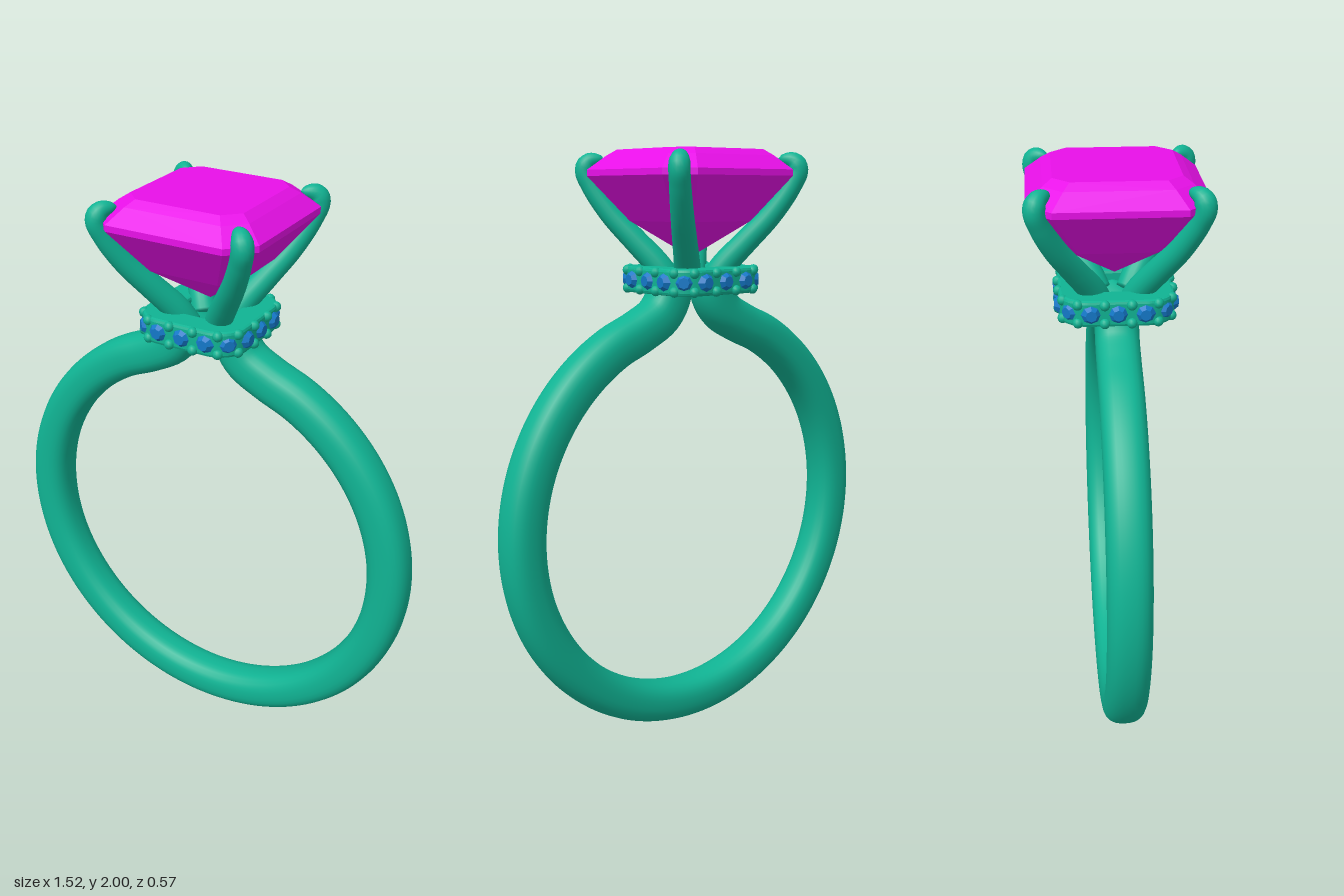
import * as THREE from 'three';
import { ConvexGeometry } from 'three/addons/geometries/ConvexGeometry.js';

const metal = new THREE.MeshStandardMaterial({ color: 0x10b393 });
const magenta = new THREE.MeshStandardMaterial({ color: 0xe810e8, flatShading: true });
const blue = new THREE.MeshStandardMaterial({ color: 0x1478c8, flatShading: true });

// Sweep a superellipse section along a curve; radius(t) closes the ends at 0
function sweep(curve, steps, sides, radius, power) {
  const frames = curve.computeFrenetFrames(steps, false);
  const pos = [], index = [];
  for (let i = 0; i <= steps; i++) {
    const p = curve.getPointAt(i / steps), r = radius(i / steps);
    for (let j = 0; j < sides; j++) {
      const a = (j / sides) * Math.PI * 2, c = Math.cos(a), s = Math.sin(a);
      const k = r / Math.pow(Math.abs(c) ** power + Math.abs(s) ** power, 1 / power);
      const v = p.clone().addScaledVector(frames.normals[i], k * c).addScaledVector(frames.binormals[i], k * s);
      pos.push(v.x, v.y, v.z);
      if (i < steps) {
        const n = (j + 1) % sides, a0 = i * sides + j, b0 = i * sides + n;
        index.push(a0, b0, a0 + sides, b0, b0 + sides, a0 + sides);
      }
    }
  }
  const g = new THREE.BufferGeometry();
  g.setAttribute('position', new THREE.Float32BufferAttribute(pos, 3));
  g.setIndex(index);
  g.computeVertexNormals();
  return g;
}

function add(parent, name, geometry, material) {
  const mesh = new THREE.Mesh(geometry, material);
  mesh.name = name;
  parent.add(mesh);
  return mesh;
}

// Rounded square outline, used for the collar and its opening
function roundedSquare(target, h, r) {
  const c = h - r;
  target.absarc(c, c, r, 0, Math.PI / 2);
  target.absarc(-c, c, r, Math.PI / 2, Math.PI);
  target.absarc(-c, -c, r, Math.PI, Math.PI * 1.5);
  target.absarc(c, -c, r, Math.PI * 1.5, Math.PI * 2);
  target.closePath();
  return target;
}

function createBand() {
  const shoulder = [[0.09, 1.59], [0.095, 1.53], [0.135, 1.465], [0.22, 1.415]];
  const pts = shoulder.map(([x, y]) => new THREE.Vector3(x, y, 0));
  for (let i = 0; i <= 40; i++) {
    const a = THREE.MathUtils.degToRad(62 - (304 * i) / 40);
    pts.push(new THREE.Vector3(0.69 * Math.cos(a), 0.76 + 0.69 * Math.sin(a), 0));
  }
  for (const [x, y] of shoulder.reverse()) pts.push(new THREE.Vector3(-x, y, 0));
  const radius = t => (t === 0 || t === 1 ? 0 : 0.071);
  return sweep(new THREE.CatmullRomCurve3(pts), 240, 28, radius, 2.6);
}

function createProng() {
  // Distance along the diagonal corner, height
  const path = [[0.05, 1.56], [0.077, 1.62], [0.13, 1.7], [0.19, 1.79], [0.235, 1.88],
    [0.251, 1.935], [0.24, 1.962], [0.205, 1.972]];
  const curve = new THREE.CatmullRomCurve3(path.map(([s, y]) => new THREE.Vector3(s, y, s)));
  const radius = t => {
    const body = THREE.MathUtils.lerp(0.046, 0.034, Math.min(1, t * 1.3));
    return t === 0 ? 0 : body * Math.sqrt(Math.max(0, Math.min(1, (1 - t) / 0.12)));
  };
  return sweep(curve, 60, 18, radius, 2);
}

function createGem() {
  // Cut-corner square layers: height, half width, corner cut
  const layers = [[2.0, 0.195, 0.05], [1.98, 0.225, 0.06], [1.935, 0.278, 0.077],
    [1.915, 0.278, 0.077], [1.77, 0.165, 0.045]];
  const pts = [new THREE.Vector3(0, 1.65, 0)];
  for (const [y, h, cut] of layers)
    for (const sx of [-1, 1])
      for (const sz of [-1, 1])
        pts.push(new THREE.Vector3(sx * h, y, sz * (h - cut)), new THREE.Vector3(sx * (h - cut), y, sz * h));
  return new ConvexGeometry(pts);
}

function createCollar() {
  const collar = new THREE.Group();
  collar.name = 'collar';
  const shape = roundedSquare(new THREE.Shape(), 0.174, 0.085);
  shape.holes.push(roundedSquare(new THREE.Path(), 0.1, 0.04));
  const rail = new THREE.ExtrudeGeometry(shape, {
    depth: 0.066, bevelEnabled: true, bevelThickness: 0.01, bevelSize: 0.01, bevelSegments: 2, curveSegments: 10,
  });
  rail.rotateX(-Math.PI / 2).translate(0, 1.545, 0);
  add(collar, 'collarRail', rail, metal);

  // Faceted small stone facing +z, and the beads that hold it
  const stone = new THREE.CylinderGeometry(0.018, 0.034, 0.02, 8).rotateX(Math.PI / 2);
  const bead = new THREE.SphereGeometry(0.017, 10, 8);
  const seats = [[-0.085, 0.188, 0], [0, 0.188, 0], [0.085, 0.188, 0], [0.155, 0.155, Math.PI / 4]];
  const beads = [[-0.0425, 0.183], [0.0425, 0.183], [0.126, 0.172], [-0.126, 0.172]];
  for (let q = 0; q < 4; q++) {
    const side = new THREE.Group();
    side.name = 'collarSide';
    side.rotation.y = (q * Math.PI) / 2;
    for (const [x, z, turn] of seats) {
      const gem = add(side, 'smallStone', stone, blue);
      gem.position.set(x, 1.578, z);
      gem.rotation.y = turn;
    }
    for (const [x, z] of beads)
      for (const y of [1.548, 1.608]) add(side, 'bead', bead, metal).position.set(x, y, z);
    collar.add(side);
  }
  return collar;
}

export function createModel() {
  const ring = new THREE.Group();
  ring.name = 'ring';
  add(ring, 'band', createBand(), metal);
  add(ring, 'centreStone', createGem(), magenta);
  const prong = createProng();
  for (let i = 0; i < 4; i++) add(ring, 'prong', prong, metal).rotation.y = (i * Math.PI) / 2;
  ring.add(createCollar());
  return ring;
}
